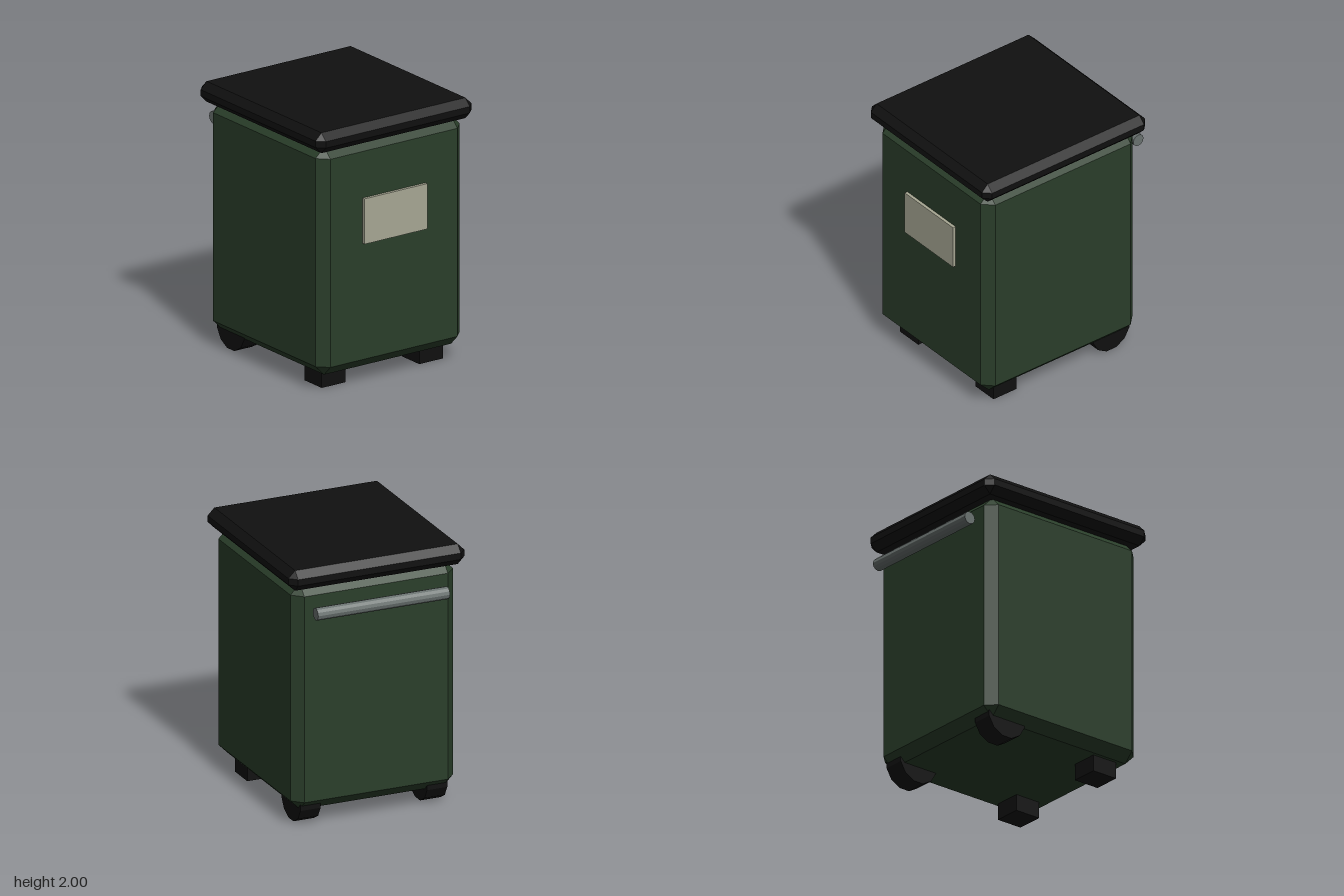
import * as THREE from 'three';
import { ConvexGeometry } from 'three/addons/geometries/ConvexGeometry.js';

const material = (name, color, flatShading = true) => {
  const m = new THREE.MeshStandardMaterial({ color, flatShading });
  m.name = name;
  return m;
};

// Box with every edge cut off at 45 degrees
function chamferBox(w, h, d, c) {
  const points = [];
  for (const sx of [-1, 1]) for (const sy of [-1, 1]) for (const sz of [-1, 1]) {
    const x = w / 2, y = h / 2, z = d / 2;
    points.push(
      new THREE.Vector3(sx * x, sy * (y - c), sz * (z - c)),
      new THREE.Vector3(sx * (x - c), sy * y, sz * (z - c)),
      new THREE.Vector3(sx * (x - c), sy * (y - c), sz * z));
  }
  return new ConvexGeometry(points);
}

export function createModel() {
  const group = new THREE.Group();
  group.name = 'wheeledBin';
  const green = material('dark green', 0x2a3e2a);
  const black = material('black', 0x101010);
  const grey = material('grey metal', 0x6a7270);
  const cream = material('pale label', 0xa8a894);

  const add = (name, geometry, mat, x, y, z) => {
    const mesh = new THREE.Mesh(geometry, mat);
    mesh.name = name;
    mesh.position.set(x, y, z);
    group.add(mesh);
    return mesh;
  };

  // Body and overhanging lid
  add('body', chamferBox(1.285, 1.735, 1.39, 0.076), green, 0, 0.9925, 0.045);
  add('lid', chamferBox(1.39, 0.155, 1.495, 0.053), black, 0, 1.9225, 0.04);

  // Front label plate
  add('labelPlate', new THREE.BoxGeometry(0.56, 0.345, 0.04), cream, 0, 1.2575, 0.744);

  // Rear handle bar
  const bar = new THREE.CylinderGeometry(0.047, 0.047, 1.04, 12).rotateZ(Math.PI / 2);
  add('handleBar', bar, grey, 0, 1.675, -0.742);

  // Front feet and rear wheels, mirrored; each wheel rests on a flat side
  const foot = new THREE.BoxGeometry(0.21, 0.16, 0.21);
  const wheel = new THREE.CylinderGeometry(0.17, 0.17, 0.16, 12)
    .rotateY(Math.PI / 12).rotateZ(Math.PI / 2);
  for (const [side, s] of [['left', 1], ['right', -1]]) {
    add(side + 'FrontFoot', foot, black, s * 0.435, 0.08, 0.495);
    add(side + 'RearWheel', wheel, black, s * 0.5, 0.17, -0.447);
  }
  return group;
}
